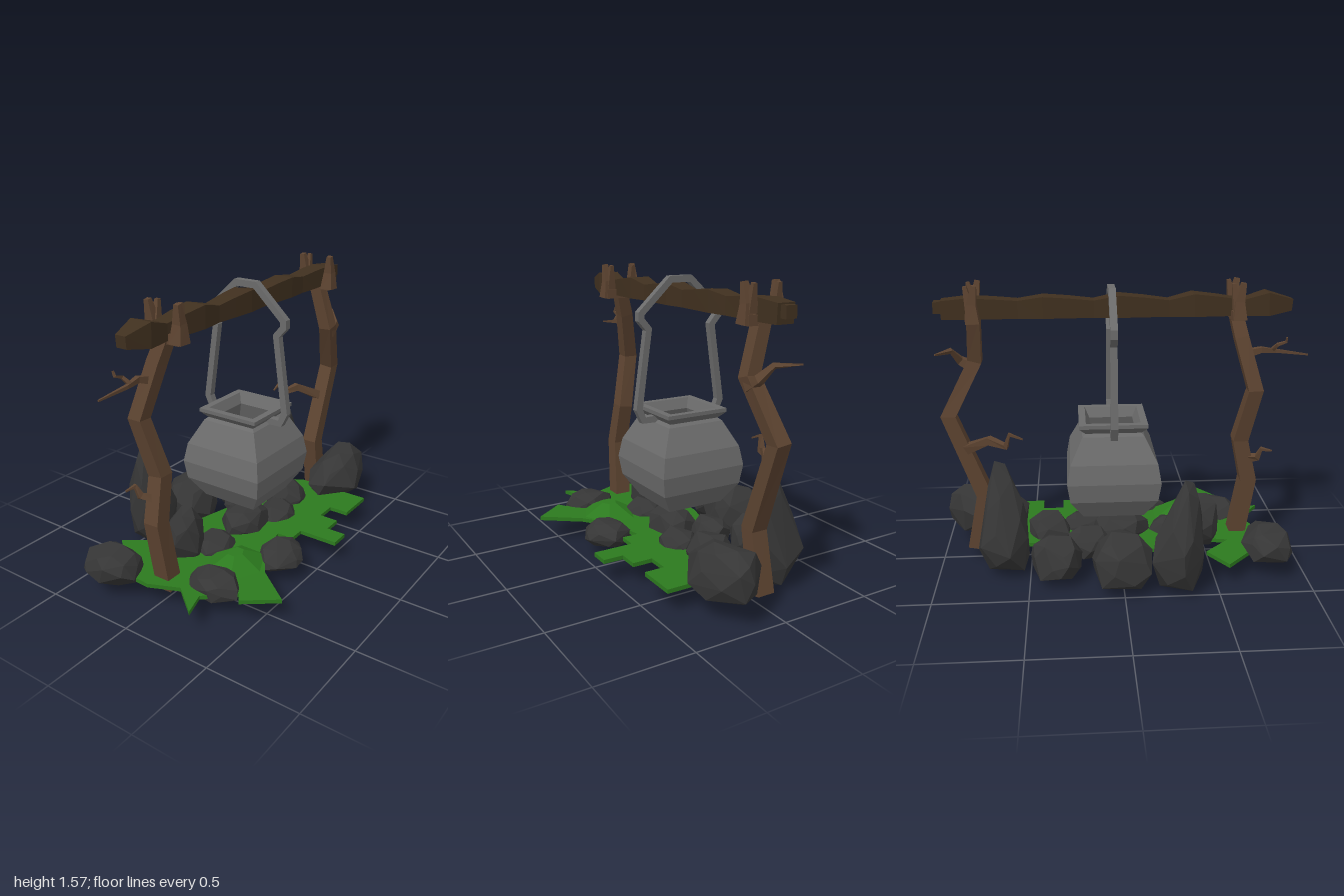
import * as THREE from 'three';
import { ConvexGeometry } from 'three/addons/geometries/ConvexGeometry.js';

const mat = (color) => new THREE.MeshStandardMaterial({ color, flatShading: true });
const IRON = mat(0x6b6b6b), BARK = mat(0x5c4330), LOG = mat(0x40301f), STONE = mat(0x363636), GRASS = mat(0x2c7a1e);
const V = (x, y, z) => new THREE.Vector3(x, y, z);
const taper = (a, b) => (t) => a + (b - a) * t;

function random(seed) {
  let s = seed * 7919 + 17;
  return () => (s = (s * 16807) % 2147483647) / 2147483647;
}

// Square-section limb through points; width(t, k) is its half width, ref fixes its roll
function limb(points, width, ref = V(0, 0, 1)) {
  const p = points.map((a) => V(...a)), last = p.length - 1;
  const rings = p.map((c, k) => {
    const t = V(0, 0, 0);
    if (k > 0) t.add(c.clone().sub(p[k - 1]).normalize());
    if (k < last) t.add(p[k + 1].clone().sub(c).normalize());
    t.normalize();
    const u = ref.clone().addScaledVector(t, -ref.dot(t)).normalize();
    const v = t.clone().cross(u), r = width(k / last, k) * Math.SQRT2;
    return [1, 3, 5, 7].map((q) => c.clone()
      .addScaledVector(u, r * Math.cos((q * Math.PI) / 4))
      .addScaledVector(v, r * Math.sin((q * Math.PI) / 4)));
  });
  const tri = [];
  const quad = (a, b, c, d) => tri.push(a, b, c, a, c, d);
  for (let k = 0; k < last; k++)
    for (let i = 0; i < 4; i++) {
      const j = (i + 1) % 4;
      quad(rings[k][i], rings[k][j], rings[k + 1][j], rings[k + 1][i]);
    }
  quad(...rings[last]);
  quad(...rings[0].slice().reverse());
  const g = new THREE.BufferGeometry().setFromPoints(tri);
  g.computeVertexNormals();
  return g;
}

// Faceted boulder spanning y0..y1; peak narrows its upper half towards a leaning tip
function boulder(seed, x, z, rx, rz, y0, y1, peak = 0.15, leanX = 0, leanZ = 0) {
  const r = random(seed), pts = [], n = 28;
  for (let i = 0; i < n; i++) {
    const h = 1 - (2 * (i + 0.5)) / n, a = i * 2.4 + r() * 0.7;
    const t = (h * n / (n - 1) + 1) / 2, up = Math.max(0, t - 0.35) / 0.65;
    const w = Math.pow(1 - h * h, 0.32) * (0.9 + 0.22 * r()) * (1 - peak * up);
    pts.push(V(x + Math.cos(a) * rx * w + leanX * up, y0 + (y1 - y0) * t, z + Math.sin(a) * rz * w + leanZ * up));
  }
  return new ConvexGeometry(pts);
}

export function createModel() {
  const model = new THREE.Group();
  const add = (name, geo, material, parent = model) => {
    const m = new THREE.Mesh(geo, material);
    m.name = name;
    parent.add(m);
    return m;
  };

  // Square cauldron with a flared rim and hollow inside
  const profile = [[0, 0.325], [0.163, 0.325], [0.235, 0.44], [0.25, 0.545], [0.232, 0.65], [0.165, 0.785], [0.148, 0.8],
    [0.182, 0.835], [0.182, 0.855], [0.145, 0.855], [0.12, 0.8], [0.19, 0.6], [0.12, 0.36], [0, 0.36]]
    .map(([w, y]) => new THREE.Vector2(w * Math.SQRT2, y));
  add('cauldron', new THREE.LatheGeometry(profile, 4, Math.PI / 4), IRON).position.set(0.04, 0, -0.01);

  // Bail handle hooked over the beam
  const half = [[0.14, 0.805], [0.228, 0.805], [0.255, 0.865], [0.195, 1.285], [0.238, 1.335], [0.238, 1.368], [0.06, 1.535]];
  const bail = [...half, ...half.map(([z, y]) => [-z, y]).reverse()].map(([z, y]) => [0.04, y, z - 0.006]);
  add('handle', limb(bail, () => 0.019, V(1, 0, 0)), IRON);

  // Rough crossbeam with a flat underside and a knobbly top that evens out to a cut stub
  const beamWidth = (t, k) => (k ? 0.051 + 0.012 * (1 - 0.7 * t) * Math.sin(k * 2.1) : 0.03);
  const beam = Array.from({ length: 15 }, (_, k) => [-0.91 + k * 0.1304, 1.397 + (k ? beamWidth(k / 14, k) : 0.052), -0.005]);
  add('crossbeam', limb(beam, beamWidth), LOG);
  add('beamStub', new THREE.BoxGeometry(0.05, 0.06, 0.06), LOG).position.set(0.93, 1.455, -0.005);

  // Crooked post with a forked top cradling the beam
  const addPost = (name, trunk) => {
    const post = new THREE.Group();
    post.name = name;
    model.add(post);
    add('trunk', limb(trunk, taper(0.047, 0.034)), BARK, post);
    const x = trunk[trunk.length - 1][0];
    add('forkSeat', new THREE.BoxGeometry(0.065, 0.05, 0.2), BARK, post).position.set(x, 1.405, 0);
    for (const s of [-0.082, 0.082]) {
      add('prong', limb([[x - 0.005, 1.385, s], [x - 0.002, 1.48, s], [x - 0.02, 1.575, s * 1.08]], taper(0.036, 0.013)), BARK, post);
      add('splinter', limb([[x + 0.005, 1.44, s * 0.85], [x + 0.028, 1.57, s * 0.85]], taper(0.024, 0.01)), BARK, post);
    }
    return post;
  };
  const addTwig = (post, thick, path) => add('twig', limb(path, taper(thick, 0.004)), BARK, post);

  const right = addPost('rightPost', [[-0.665, 0.08, 0], [-0.72, 0.47, -0.02], [-0.665, 0.71, -0.03],
    [-0.72, 1.01, -0.1], [-0.645, 1.28, -0.04], [-0.615, 1.41, 0]]);
  addTwig(right, 0.02, [[-0.68, 1.2, -0.06], [-0.75, 1.22, -0.07], [-0.83, 1.21, -0.06], [-1, 1.19, -0.075]]);
  addTwig(right, 0.01, [[-0.81, 1.215, -0.06], [-0.83, 1.25, -0.09], [-0.875, 1.265, -0.09], [-0.875, 1.29, -0.1]]);
  addTwig(right, 0.022, [[-0.7, 0.59, -0.03], [-0.76, 0.615, -0.08], [-0.775, 0.67, -0.1], [-0.83, 0.66, -0.11]]);

  const left = addPost('leftPost', [[0.81, 0.08, 0.005], [0.75, 0.4, 0.01], [0.92, 0.86, 0.012],
    [0.77, 1.15, 0.075], [0.755, 1.41, 0]]);
  addTwig(left, 0.028, [[0.775, 1.11, 0.08], [0.85, 1.15, 0.08], [0.89, 1.215, 0.03], [0.955, 1.22, -0.08]]);
  addTwig(left, 0.026, [[0.84, 0.67, 0], [0.7, 0.75, -0.09], [0.61, 0.73, -0.13], [0.59, 0.8, -0.14], [0.52, 0.77, -0.14]]);

  // Two standing stones
  add('standingStone', boulder(2, -0.28, -0.45, 0.15, 0.16, 0.01, 0.64, 0.65, -0.05, 0.01), STONE);
  add('standingStone', boulder(5, 0.63, -0.2, 0.155, 0.15, 0.01, 0.65, 0.6, 0.02, 0.06), STONE);

  // Low rocks around and under the fire: x, z, radius x, radius z, bottom, top
  [
    [-0.8, -0.26, 0.14, 0.17, 0.09, 0.28], [0.01, -0.4, 0.17, 0.17, 0.03, 0.33], [0.35, -0.3, 0.15, 0.14, 0.03, 0.27],
    [-0.44, -0.08, 0.13, 0.11, 0.08, 0.4], [-0.6, 0.25, 0.12, 0.15, 0.08, 0.22],
    [-0.15, 0.35, 0.15, 0.12, 0.06, 0.2], [0.4, 0.03, 0.13, 0.13, 0.04, 0.26], [-0.3, 0.02, 0.14, 0.12, 0.03, 0.22],
    [0, 0.02, 0.17, 0.14, 0.06, 0.26], [0.2, 0.1, 0.13, 0.12, 0.05, 0.22], [0.18, -0.12, 0.13, 0.11, 0.06, 0.24],
  ].forEach((r, i) => add('rock', boulder(i + 10, ...r), STONE));
  add('cornerRock', boulder(13, 0.74, 0.2, 0.265, 0.155, 0.09, 0.375, 0.3, 0.08, -0.02), STONE);

  // Thin ragged turf
  const slab = (name, corners) => {
    const shape = new THREE.Shape(corners.map(([x, z]) => new THREE.Vector2(x, -z)));
    const geo = new THREE.ExtrudeGeometry(shape, { depth: 0.022, bevelEnabled: false }).rotateX(-Math.PI / 2);
    add(name, geo, GRASS).position.y = 0.125;
  };
  slab('turf', [[-0.56, -0.43], [-0.46, -0.28], [-0.6, -0.15], [-0.35, -0.1], [-0.35, -0.23], [-0.15, -0.23], [0.29, -0.12],
    [0.58, -0.12], [0.66, 0], [0.66, 0.33], [0, 0.33], [0, 0.24], [-0.2, 0.28], [-0.37, 0.4], [-0.52, 0.6], [-0.65, 0.43],
    [-0.6, 0.4], [-0.73, 0.25], [-0.86, 0.29], [-0.73, 0.13], [-0.8, -0.03], [-0.79, -0.2]]);
  slab('turfPatch', [[0.44, 0.33], [0.66, 0.33], [0.66, 0.44], [0.44, 0.44]]);
  slab('turfPatch', [[0.1, 0.33], [0.32, 0.33], [0.32, 0.44], [0.21, 0.44], [0.21, 0.55], [0.1, 0.55]]);

  // Raised tuft
  const mound = add('turfMound', new THREE.CylinderGeometry(0.05, 0.2, 0.075, 6), GRASS);
  mound.position.set(-0.38, 0.175, 0.22);
  mound.scale.z = 0.85;
  return model;
}
